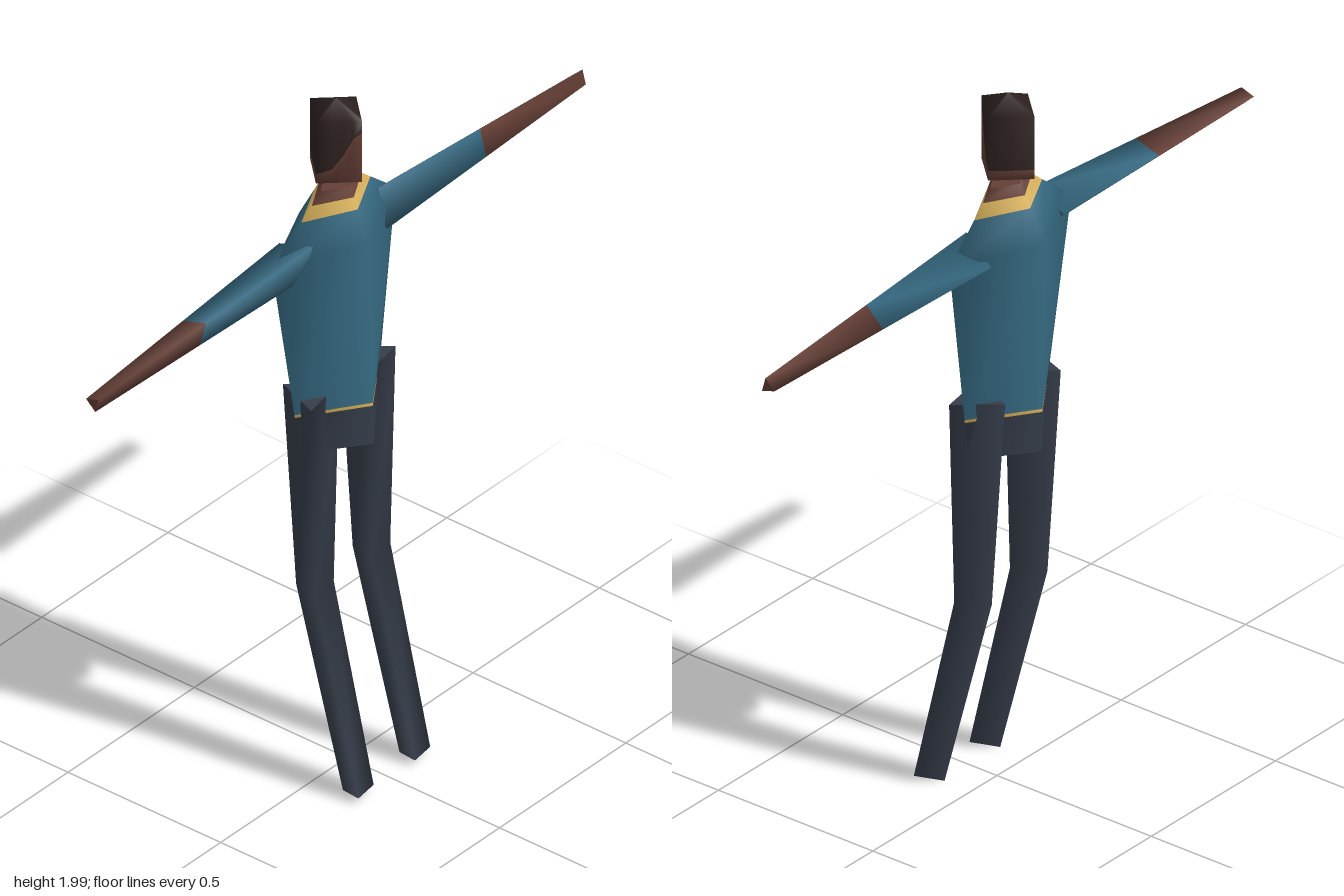
import * as THREE from 'three';

const flat = (name, color) => {
  const m = new THREE.MeshStandardMaterial({ color });
  m.name = name;
  return m;
};
const V = (x, y, z) => new THREE.Vector3(x, y, z);

// Closed skin through rings (counter-clockwise about the path), smooth round the sides,
// with flat end caps. mats[i] colours the strip between ring i and ring i + 1.
function loft(name, rings, mats) {
  const pos = [], idx = [];
  const n = rings[0].length;
  const unique = [...new Set(mats)];
  const geo = new THREE.BufferGeometry();
  const push = (r) => r.forEach((p) => pos.push(p.x, p.y, p.z));
  rings.forEach(push);
  const group = (start, mat) => geo.addGroup(start, idx.length - start, unique.indexOf(mat));
  for (let i = 0; i < rings.length - 1; i++) {
    const start = idx.length;
    for (let j = 0; j < n; j++) {
      const a = i * n + j, b = i * n + (j + 1) % n;
      idx.push(a, b, b + n, a, b + n, a + n);
    }
    group(start, mats[i]);
  }
  [[rings[0], true, mats[0]], [rings[rings.length - 1], false, mats[mats.length - 1]]].forEach(([ring, first, mat]) => {
    const base = pos.length / 3, start = idx.length;
    push(ring);
    for (let j = 1; j < n - 1; j++) {
      if (first) idx.push(base, base + j + 1, base + j);
      else idx.push(base, base + j, base + j + 1);
    }
    group(start, mat);
  });
  geo.setAttribute('position', new THREE.Float32BufferAttribute(pos, 3));
  geo.setIndex(idx);
  geo.computeVertexNormals();
  const mesh = new THREE.Mesh(geo, unique.length > 1 ? unique : unique[0]);
  mesh.name = name;
  return mesh;
}

export function createModel() {
  const shirt = flat('shirtBlue', 0x366a82);
  const trousers = flat('trouserNavy', 0x363d4a);
  const skin = flat('skinBrown', 0x653f36);
  const hair = flat('hairDark', 0x2e2220);
  const trim = flat('trimGold', 0xd9b25c);
  const model = new THREE.Group();
  model.name = 'figure';

  // Torso: diamond sections [y, half width, front z, back z], from hips to neck
  const keys = [[1.0, 0.15, 0.088, -0.145], [1.6, 0.245, 0.07, -0.156], [1.75, 0.065, 0.012, -0.075]];
  const diamond = (y) => {
    const k = y <= 1.6 ? 0 : 1;
    const t = (y - keys[k][0]) / (keys[k + 1][0] - keys[k][0]);
    const [w, f, b] = [1, 2, 3].map((c) => THREE.MathUtils.lerp(keys[k][c], keys[k + 1][c], t));
    const m = (f + b) / 2;
    return [V(0, y, f), V(w, y, m), V(0, y, b), V(-w, y, m)];
  };
  model.add(loft('torso', [1.0, 1.115, 1.124, 1.6, 1.69, 1.722, 1.75].map(diamond),
    [trousers, trim, shirt, shirt, trim, skin]));

  // Head: diamond prism with pointed ends; the hairline rises over the face
  const hairline = [[0, 1.93], [0.015, 1.912], [0.033, 1.86], [0.052, 1.82], [0.08, 1.808]];
  const side = [
    ...hairline.map(([x, y]) => [x, 0.05 - x * 1.07, y]),
    [0.04, -0.078, 1.806],
    [0, -0.121, 1.806],
  ];
  const around = [...side, ...side.slice(1, -1).reverse().map(([x, z, y]) => [-x, z, y])];
  const headRing = (yOf, s = 1) => around.map(([x, z, y]) => V(x * s, yOf(y), -0.0355 + (z + 0.0355) * s));
  model.add(loft('head', [
    headRing(() => 1.75, 0.02),
    headRing(() => 1.78),
    headRing((y) => y),
    headRing(() => 1.962),
    headRing(() => 2.0, 0.02),
  ], [skin, skin, hair, hair]));

  // Arms: tapering three-sided limbs, the right one turned half a turn
  const armCorners = [[0.062, 0.015], [-0.048, 0.045], [-0.013, -0.065]];
  for (const s of [1, -1]) {
    const ring = (x) => {
      const t = (x - 0.147) / (0.965 - 0.147);
      const k = 1 - 0.63 * t;
      return armCorners.map(([y, z]) => V(s * x, 1.593 - 0.024 * t + s * y * k, -0.035 + 0.003 * t + z * k));
    };
    model.add(loft(s > 0 ? 'leftArm' : 'rightArm', [0.147, 0.555, 0.965].map(ring), [shirt, skin]));
  }

  // Legs: three-sided limbs bent at the knee [y, z, radius, tilt of the section]
  const legCorners = [[-0.77, 0.64], [0.94, 0.34], [-0.17, -0.98]];
  const joints = [[0.022, 0.13, 0.045, 0.26], [0.58, -0.012, 0.055, 0.13], [1.165, -0.025, 0.082, 0]];
  for (const s of [1, -1]) {
    const rings = joints.map(([y, z, r, tilt]) =>
      legCorners.map(([cx, cz]) => V(s * 0.112 + cx * r, y + cz * r * tilt, z + cz * r)));
    model.add(loft(s > 0 ? 'leftLeg' : 'rightLeg', rings, [trousers, trousers]));
  }
  return model;
}
